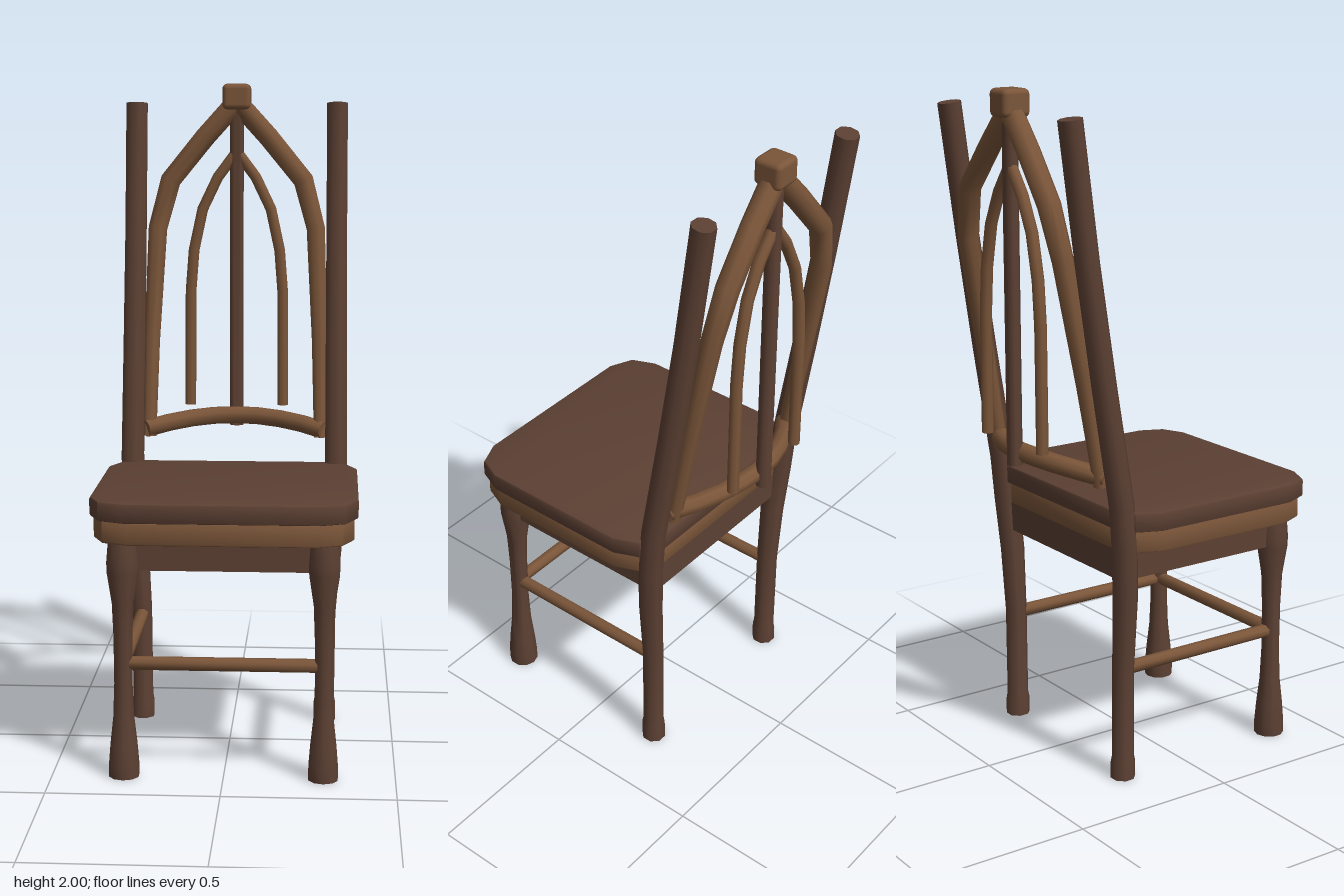
import * as THREE from 'three';
import { toCreasedNormals } from 'three/addons/utils/BufferGeometryUtils.js';
import { RoundedBoxGeometry } from 'three/addons/geometries/RoundedBoxGeometry.js';

const dark = new THREE.MeshStandardMaterial({ color: 0x5c4033 });
const light = new THREE.MeshStandardMaterial({ color: 0x7a5539 });

// Capped round bar along points [x, y, z, radius], with rings mitred at each bend
function bar(points, sides = 8) {
  const p = points.map(([x, y, z]) => new THREE.Vector3(x, y, z));
  const pos = [], index = [], n = p.length;
  const ref = Math.abs(p[n - 1].z - p[0].z) > 0.45 && Math.abs(p[n - 1].y - p[0].y) < 0.1
    ? new THREE.Vector3(0, 1, 0) : new THREE.Vector3(0, 0, 1);
  p.forEach((c, i) => {
    const t = new THREE.Vector3();
    if (i > 0) t.add(c.clone().sub(p[i - 1]).normalize());
    if (i < n - 1) t.add(p[i + 1].clone().sub(c).normalize());
    t.normalize();
    const u = new THREE.Vector3().crossVectors(ref, t).normalize();
    const v = new THREE.Vector3().crossVectors(t, u);
    for (let k = 0; k < sides; k++) {
      const a = ((k + 0.5) / sides) * Math.PI * 2, r = points[i][3];
      const q = c.clone().addScaledVector(u, Math.cos(a) * r).addScaledVector(v, Math.sin(a) * r);
      pos.push(q.x, q.y, q.z);
    }
  });
  for (let i = 0; i < n - 1; i++) {
    for (let k = 0; k < sides; k++) {
      const a = i * sides + k, b = i * sides + (k + 1) % sides;
      index.push(a, b, b + sides, a, b + sides, a + sides);
    }
  }
  const end = (n - 1) * sides;
  for (let k = 1; k < sides - 1; k++) {
    index.push(0, k + 1, k, end, end + k, end + k + 1);
  }
  const g = new THREE.BufferGeometry();
  g.setAttribute('position', new THREE.Float32BufferAttribute(pos, 3));
  g.setIndex(index);
  return toCreasedNormals(g, 0.9);
}

// Seat board with clipped corners and a small bevel
function board(halfWidth, front, back, y0, y1, bevel) {
  const w = halfWidth - bevel, f = front - bevel, b = back + bevel;
  const half = [[w - 0.1, f], [w - 0.03, f - 0.03], [w, f - 0.1],
    [w, b + 0.1], [w - 0.03, b + 0.03], [w - 0.1, b]];
  const outline = [...half, ...half.map(([x, z]) => [-x, z]).reverse()];
  const shape = new THREE.Shape(outline.map(([x, z]) => new THREE.Vector2(x, -z)));
  const g = new THREE.ExtrudeGeometry(shape, {
    depth: y1 - y0 - 2 * bevel, bevelEnabled: true,
    bevelThickness: bevel, bevelSize: bevel, bevelSegments: 2,
  });
  g.rotateX(-Math.PI / 2);
  g.translate(0, y0 + bevel, 0);
  return toCreasedNormals(g, 0.6);
}

export function createModel() {
  const chair = new THREE.Group();
  chair.name = 'chair';
  const add = (name, geometry, material) => {
    const mesh = new THREE.Mesh(geometry, material);
    mesh.name = name;
    chair.add(mesh);
    return mesh;
  };
  const box = (name, w, h, d, x, y, z) =>
    add(name, new THREE.BoxGeometry(w, h, d), dark).position.set(x, y, z);

  // Seat and apron
  add('seatTop', board(0.385, 0.435, -0.247, 0.77, 0.828, 0.008), dark);
  add('seatRim', board(0.374, 0.425, -0.237, 0.705, 0.77, 0.006), light);
  box('frontApron', 0.54, 0.09, 0.035, 0, 0.662, 0.335);
  box('backApron', 0.58, 0.09, 0.035, 0, 0.662, -0.215);

  // Turned front leg profile: radius, height
  const legProfile = [[0, 0], [0.045, 0], [0.045, 0.04], [0.04, 0.1], [0.031, 0.18], [0.027, 0.28],
    [0.028, 0.42], [0.032, 0.52], [0.046, 0.61], [0.047, 0.64], [0.041, 0.71], [0, 0.71]]
    .map(([r, y]) => new THREE.Vector2(r, y));
  const frontLeg = toCreasedNormals(new THREE.LatheGeometry(legProfile, 10), 0.9);

  for (const [side, s] of [['left', 1], ['right', -1]]) {
    const path = (points) => bar(points.map(([x, y, z, r]) => [s * x, y, z, r]));

    add(side + 'FrontLeg', frontLeg, dark).position.set(s * 0.29, 0, 0.342);
    box(side + 'Apron', 0.035, 0.09, 0.52, s * 0.292, 0.662, 0.06);

    // Back leg running up into the leaning post
    add(side + 'BackPost', path([[0.29, 0, -0.215, 0.037], [0.29, 0.05, -0.215, 0.037],
      [0.29, 0.07, -0.215, 0.033], [0.292, 0.35, -0.215, 0.033], [0.305, 0.55, -0.217, 0.037],
      [0.318, 0.72, -0.228, 0.038], [0.32, 0.85, -0.24, 0.037], [0.318, 1.2, -0.297, 0.036],
      [0.316, 1.55, -0.35, 0.035], [0.315, 1.94, -0.402, 0.035]]), dark);
    add(side + 'Stretcher', path([[0.29, 0.34, -0.215, 0.02], [0.29, 0.34, 0.342, 0.02]]), light);

    // Pointed arch of the back
    add(side + 'ArchBar', path([[0.27, 0.9, -0.275, 0.022], [0.265, 1.2, -0.325, 0.026],
      [0.25, 1.55, -0.385, 0.031], [0.21, 1.7, -0.402, 0.034], [0.1, 1.835, -0.396, 0.034],
      [0, 1.945, -0.392, 0.034]]), light);
    add(side + 'CurvedSpindle', path([[0.148, 0.985, -0.393, 0.018], [0.146, 1.35, -0.393, 0.018],
      [0.136, 1.48, -0.393, 0.018], [0.108, 1.61, -0.393, 0.018], [0.06, 1.71, -0.393, 0.018],
      [0, 1.79, -0.393, 0.018]]), light);
  }

  add('frontStretcher', bar([[-0.29, 0.34, 0.342, 0.02], [0.29, 0.34, 0.342, 0.02]]), light);

  // Bowed lower rail, centre spindle and finial
  const rail = [];
  for (let i = -4; i <= 4; i++) {
    const t = i / 4;
    rail.push([t * 0.28, 0.955 - 0.03 * t * t, -0.37 + 0.105 * t * t, 0.028]);
  }
  add('lowerRail', bar(rail), light);
  add('centreSpindle', bar([[0, 0.92, -0.393, 0.023], [0, 1.94, -0.393, 0.023]]), dark);
  add('finial', new RoundedBoxGeometry(0.088, 0.08, 0.088, 2, 0.016), light).position.set(0, 1.96, -0.392);

  return chair;
}
